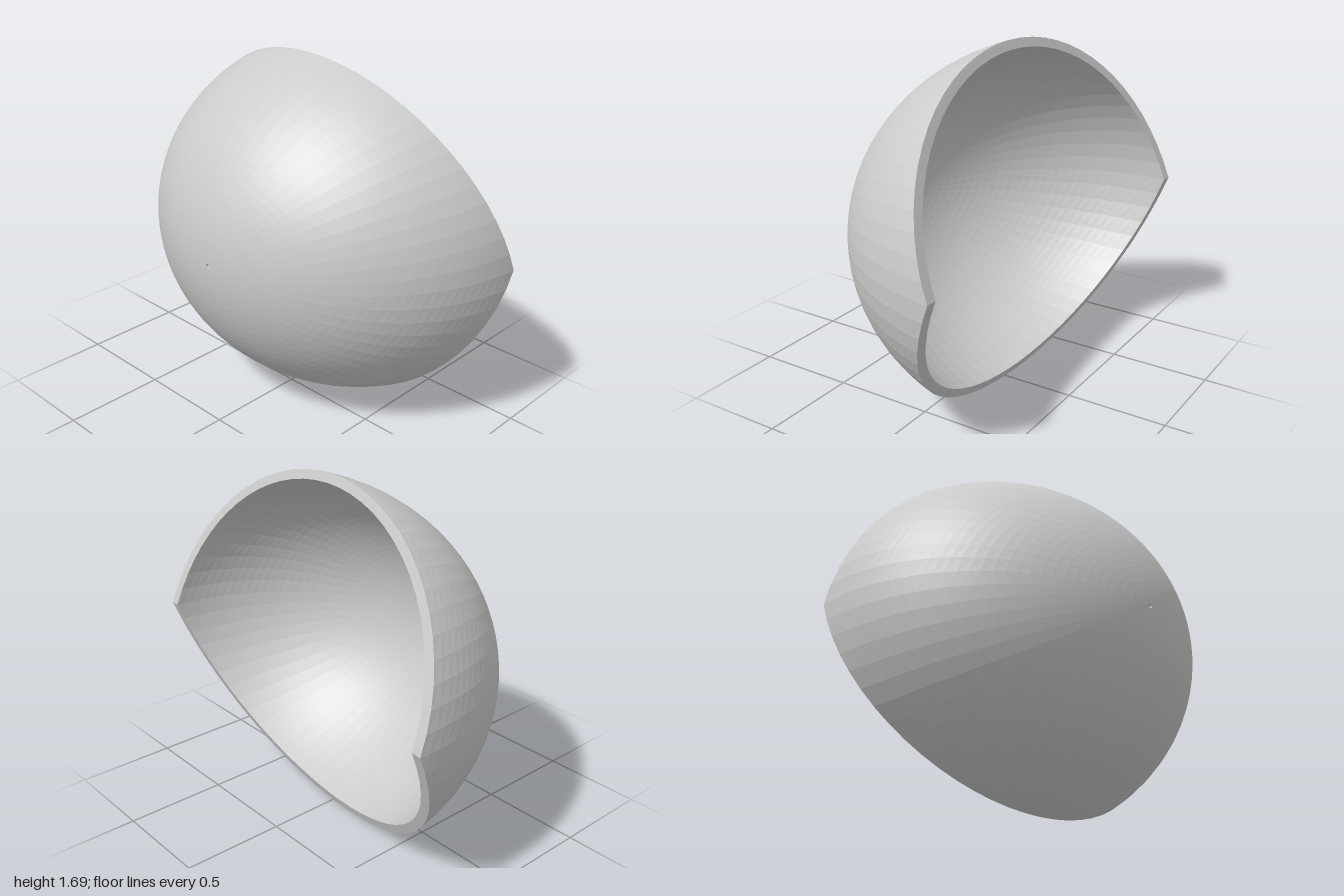
import * as THREE from 'three';

const SEGMENTS = 64;     // around the front axis
const RINGS = 32;        // from the pinhole to the rim
const OUTER = 1, INNER = 0.95;
const HEIGHT_SCALE = 0.895;
const HOLE = 0.012;      // pinhole radius
const CENTRE = new THREE.Vector3(0, 0.846, -0.464);

// Angle from the front axis at which two tilted planes cut the shell
function rimAngle(a) {
  return Math.atan2(1, 0.073 * Math.cos(a) + 0.345 * Math.abs(Math.sin(a)));
}

// Closed wall profile for one direction: outer face to the rim, then back inside
function wallProfile(a) {
  const points = [];
  const add = (radius, i) => {
    const start = Math.asin(HOLE / radius);
    const t = start + (rimAngle(a) - start) * i / RINGS;
    points.push([
      radius * Math.sin(t) * Math.cos(a),
      radius * Math.sin(t) * Math.sin(a) * HEIGHT_SCALE,
      radius * Math.cos(t),
    ]);
  };
  for (let i = 0; i <= RINGS; i++) add(OUTER, i);
  for (let i = RINGS; i >= 0; i--) add(INNER, i);
  return points;
}

function shellGeometry() {
  const positions = [], index = [];
  const count = 2 * (RINGS + 1);
  for (let j = 0; j < SEGMENTS; j++) {
    positions.push(...wallProfile(j / SEGMENTS * Math.PI * 2).flat());
    const here = j * count, next = ((j + 1) % SEGMENTS) * count;
    for (let i = 0; i < count; i++) {
      const k = (i + 1) % count;   // the last strip lines the pinhole
      index.push(here + i, here + k, next + k, here + i, next + k, next + i);
    }
  }
  const geometry = new THREE.BufferGeometry();
  geometry.setAttribute('position', new THREE.Float32BufferAttribute(positions, 3));
  geometry.setIndex(index);
  geometry.computeVertexNormals();
  return geometry;
}

export function createModel() {
  const group = new THREE.Group();
  group.name = 'cutShell';
  const material = new THREE.MeshStandardMaterial({ color: 0xcccccc, flatShading: true });
  const shell = new THREE.Mesh(shellGeometry(), material);
  shell.name = 'shell';
  shell.position.copy(CENTRE);
  group.add(shell);
  return group;
}
